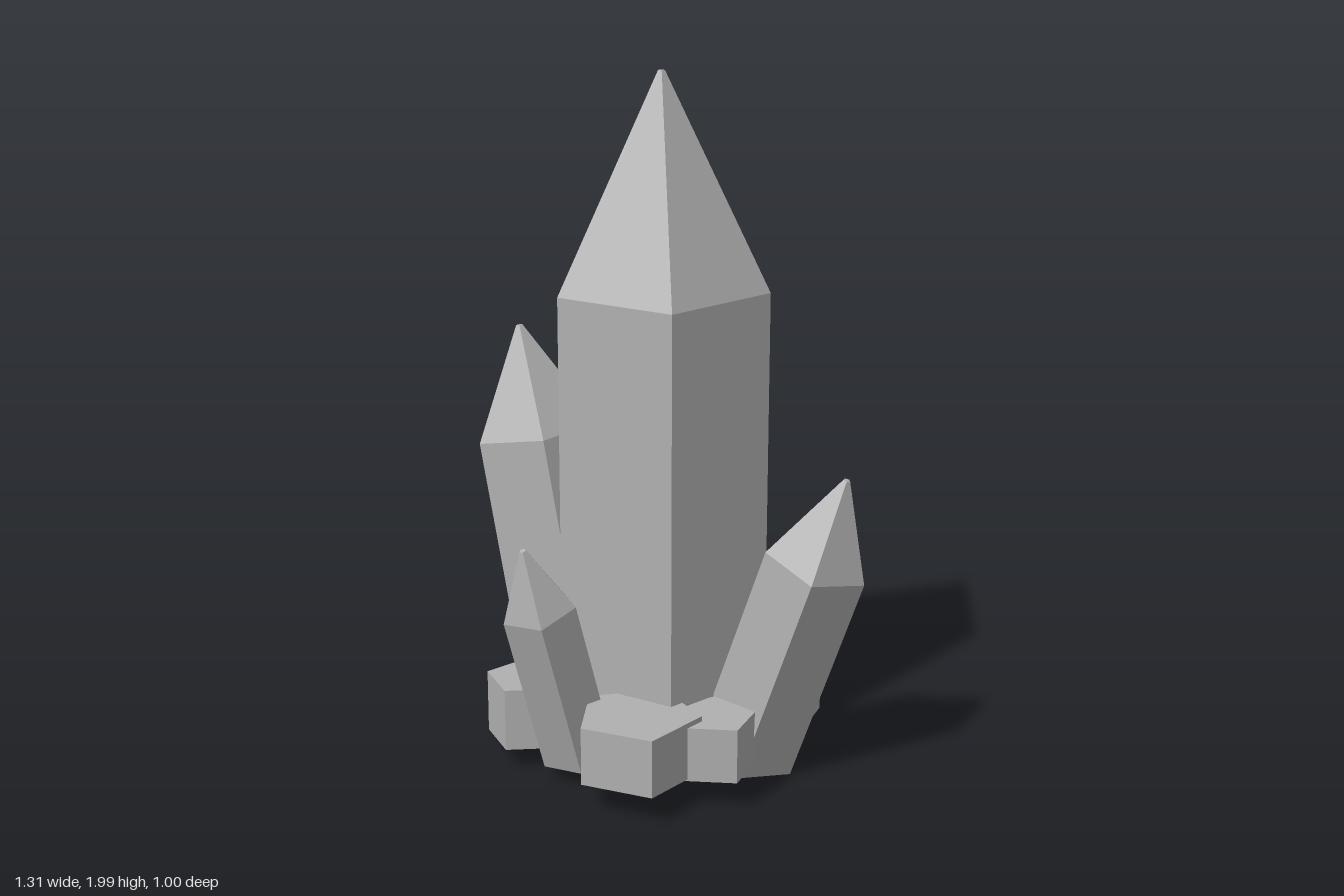
import * as THREE from 'three';

export function createModel() {
  const group = new THREE.Group();
  const stone = new THREE.MeshStandardMaterial({ color: 0xb0b0b0 });
  stone.name = 'grey crystal';
  stone.flatShading = true;
  const deg = Math.PI / 180;

  // Five-sided crystal standing on its base centre: straight shaft, then a point.
  // turn is the angle of one corner, measured from +z towards +x.
  function crystal(name, base, axis, radius, shaft, point, turn) {
    const part = new THREE.Group();
    part.name = name;
    const body = new THREE.CylinderGeometry(radius, radius, shaft, 5, 1, false, turn * deg);
    body.translate(0, shaft / 2, 0);
    const tip = new THREE.CylinderGeometry(0.01, radius, point, 5, 1, false, turn * deg);
    tip.translate(0, shaft + point / 2, 0);
    // The tip needs no lower cap, as the shaft closes it
    const sides = tip.groups[0].count + tip.groups[1].count;
    tip.setDrawRange(0, sides);
    const bodyMesh = new THREE.Mesh(body, stone);
    bodyMesh.name = name + 'Shaft';
    const tipMesh = new THREE.Mesh(tip, stone);
    tipMesh.name = name + 'Point';
    part.add(bodyMesh, tipMesh);
    part.position.set(...base);
    part.quaternion.setFromUnitVectors(
      new THREE.Vector3(0, 1, 0), new THREE.Vector3(...axis).normalize());
    group.add(part);
  }

  // Upright main crystal and the three leaning ones
  crystal('mainCrystal', [0.017, 0.07, -0.01], [0, 1, 0], 0.308, 1.33, 0.6, 180);
  crystal('rightCrystal', [-0.319, 0.055, -0.125], [-0.195, 1, 0], 0.19, 0.836, 0.321, 183);
  crystal('leftCrystal', [0.298, 0.06, -0.013], [0.345, 1, 0], 0.15, 0.661, 0.265, 95);
  crystal('frontCrystal', [-0.086, 0.08, 0.279], [-0.075, 1, 0.285], 0.107, 0.498, 0.196, 180);

  // Ring of low five-sided stones: x, z, radius, bottom, top, corner angle
  const stones = [
    [-0.275, 0.243, 0.127, 0.075, 0.26, 0],
    [0.14, 0.326, 0.18, 0.1, 0.27, -28],
    [0.308, 0.19, 0.123, 0.095, 0.255, 61],
    [0.294, -0.23, 0.128, 0.09, 0.255, 135],
    [0.117, -0.337, 0.164, 0.07, 0.245, 186],
    [-0.17, -0.279, 0.19, 0.1, 0.285, 168],
    [-0.25, 0.07, 0.14, 0.08, 0.25, -67],
  ];
  stones.forEach(([x, z, radius, bottom, top, turn], i) => {
    const mesh = new THREE.Mesh(
      new THREE.CylinderGeometry(radius, radius, top - bottom, 5, 1, false, turn * deg), stone);
    mesh.name = 'baseStone' + (i + 1);
    mesh.position.set(x, (top + bottom) / 2, z);
    group.add(mesh);
  });

  return group;
}
